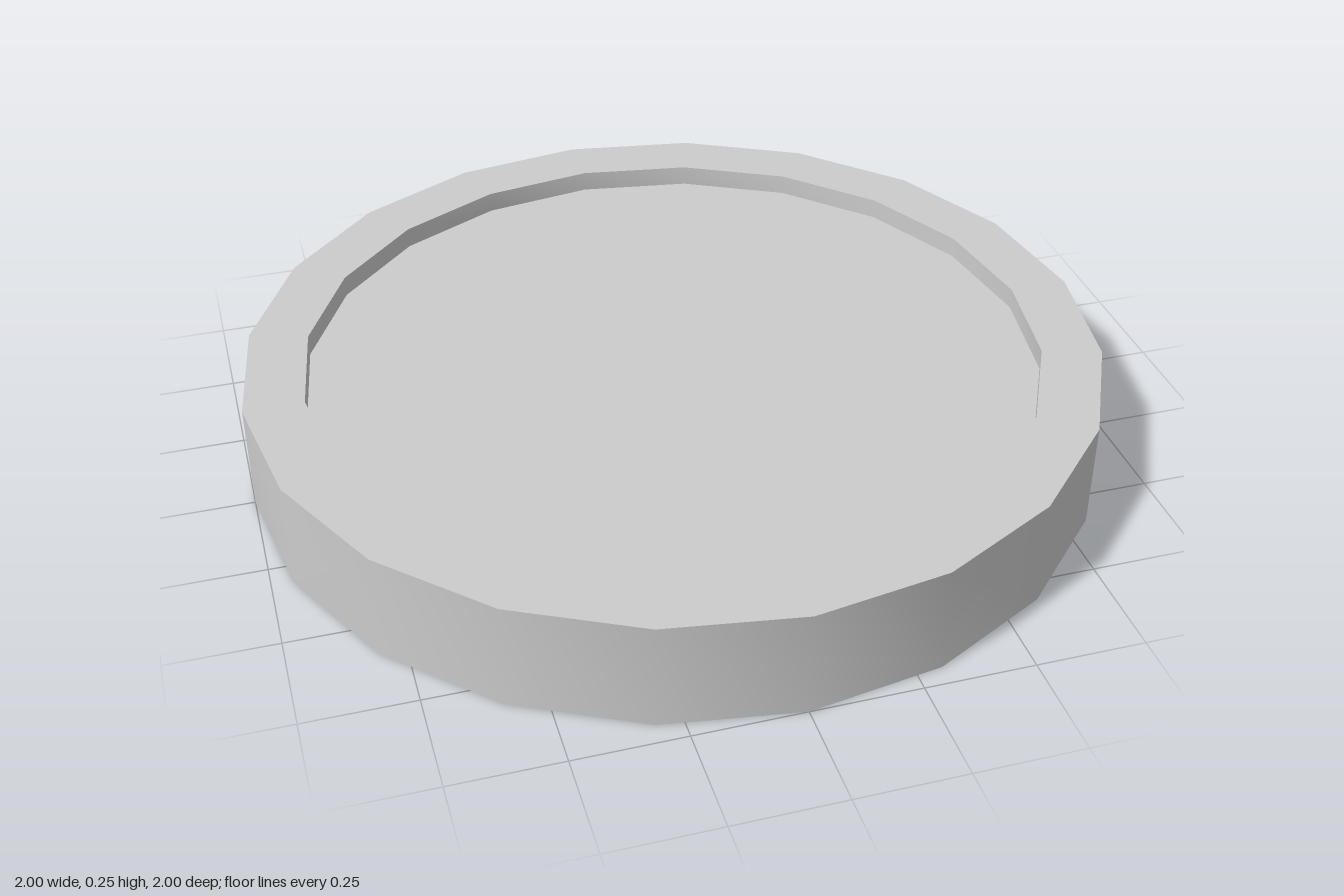
import * as THREE from 'three';
import { toCreasedNormals } from 'three/addons/utils/BufferGeometryUtils.js';

const SIDES = 20;
const RADIUS = 1, HEIGHT = 0.255;
const RECESS_RADIUS = 0.86, FLOOR_Y = 0.205;

export function createModel() {
  const group = new THREE.Group();
  group.name = 'shallowDish';
  const material = new THREE.MeshStandardMaterial({ color: 0xcccccc });

  // Closed profile: underside, outer wall, flat rim, recess wall, recessed floor
  const profile = [
    [0, 0], [RADIUS, 0], [RADIUS, HEIGHT],
    [RECESS_RADIUS, HEIGHT], [RECESS_RADIUS, FLOOR_Y], [0, FLOOR_Y],
  ].map(([r, y]) => new THREE.Vector2(r, y));

  // Walls shade smoothly around, corners of the profile stay sharp
  const geometry = toCreasedNormals(new THREE.LatheGeometry(profile, SIDES), Math.PI / 6);
  const dish = new THREE.Mesh(geometry, material);
  dish.name = 'dish';
  group.add(dish);
  return group;
}
